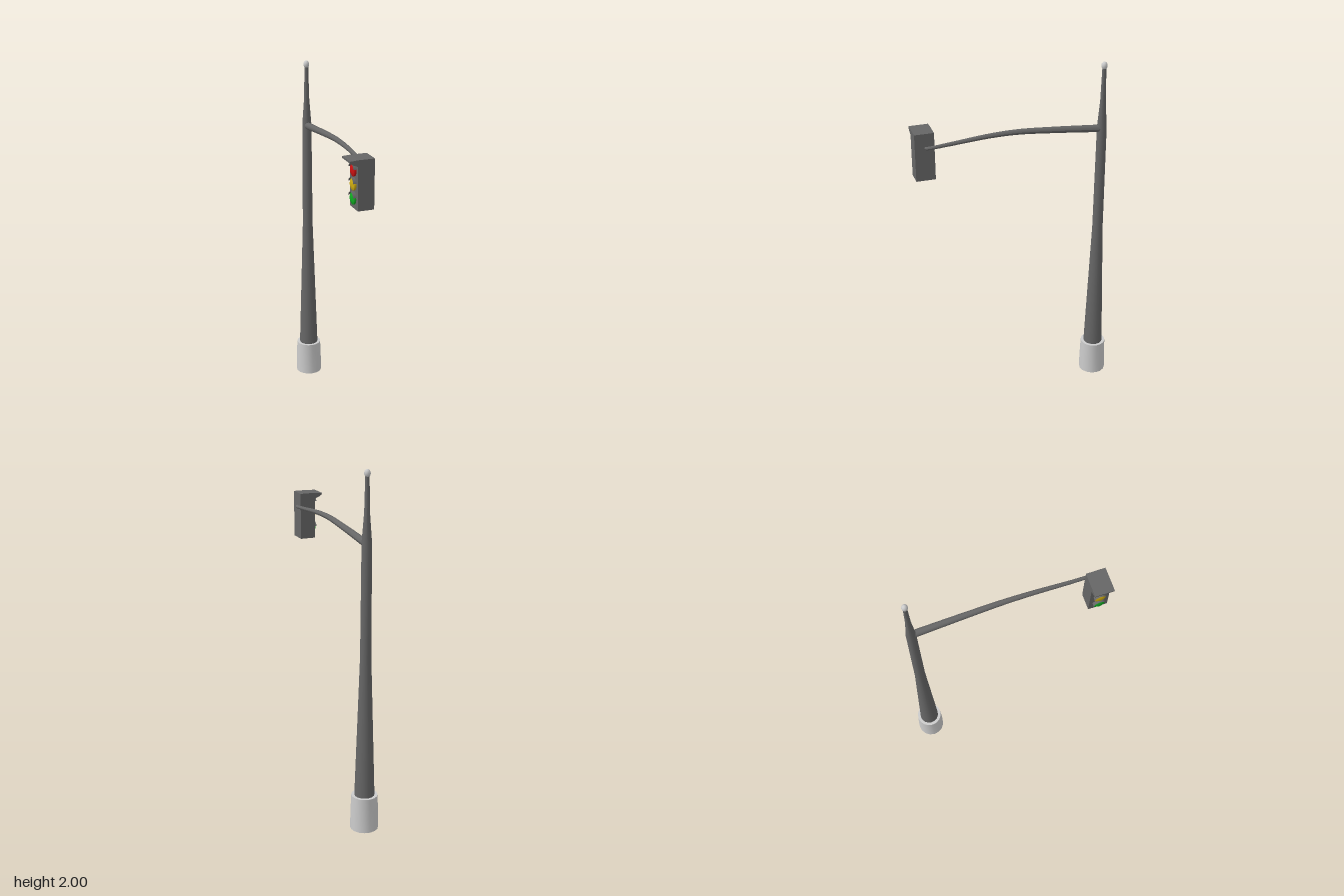
import * as THREE from 'three';
import { toCreasedNormals } from 'three/addons/utils/BufferGeometryUtils.js';

const paint = (color) => new THREE.MeshStandardMaterial({ color, side: THREE.DoubleSide });
const dark = paint(0x666666);
const light = paint(0xcccccc);

function add(parent, name, geometry, material, x = 0, y = 0, z = 0) {
  const mesh = new THREE.Mesh(geometry, material);
  mesh.name = name;
  mesh.position.set(x, y, z);
  parent.add(mesh);
  return mesh;
}

const lathe = (points, segments) =>
  toCreasedNormals(new THREE.LatheGeometry(points.map(([r, y]) => new THREE.Vector2(r, y)), segments), 0.6);

// Tube swept along a curve, its radius shrinking from r0 to r1
function taperedTube(curve, r0, r1, steps, sides) {
  const geometry = new THREE.TubeGeometry(curve, steps, 1, sides);
  const pos = geometry.attributes.position;
  const v = new THREE.Vector3();
  for (let i = 0; i <= steps; i++) {
    const centre = curve.getPointAt(i / steps);
    const r = r0 + (r1 - r0) * (i / steps);
    for (let j = 0; j <= sides; j++) {
      const k = i * (sides + 1) + j;
      v.fromBufferAttribute(pos, k).sub(centre).multiplyScalar(r).add(centre);
      pos.setXYZ(k, v.x, v.y, v.z);
    }
  }
  geometry.computeVertexNormals();
  return geometry;
}

export function createModel() {
  const model = new THREE.Group();
  model.name = 'trafficLight';

  // Upright: hollow footing, tapered pole, finial
  const upright = new THREE.Group();
  upright.name = 'upright';
  upright.position.set(0.03, 0, -0.487);
  model.add(upright);
  add(upright, 'base', lathe([[0, 0.03], [0.063, 0.03], [0.063, 0], [0.078, 0], [0.077, 0.08], [0.073, 0.2], [0.05, 0.2]], 16), light);
  add(upright, 'pole', lathe([[0.056, 0.19], [0.03, 1.0], [0.027, 1.62], [0.015, 1.78], [0.011, 1.965], [0, 1.965]], 16), dark);
  add(upright, 'finial', new THREE.SphereGeometry(0.017, 12, 8), light, 0, 1.978, 0).scale.y = 1.3;

  // Arched arm turning sideways into the signal housing
  const path = new THREE.CatmullRomCurve3([
    [0.03, 1.615, -0.487], [0.03, 1.643, -0.2], [0.03, 1.658, 0], [0.03, 1.656, 0.16],
    [0.03, 1.638, 0.38], [0.03, 1.63, 0.485], [0.024, 1.628, 0.504], [0.005, 1.628, 0.508],
  ].map((p) => new THREE.Vector3(...p)));
  add(model, 'arm', taperedTube(path, 0.021, 0.009, 48, 12), dark);

  // Signal head, facing -x
  const head = new THREE.Group();
  head.name = 'signalHead';
  head.position.set(0, 0, 0.511);
  model.add(head);
  add(head, 'housing', new THREE.BoxGeometry(0.09, 0.27, 0.107), dark, -0.025, 1.575, 0);

  // Wedge visor over the lamps
  const outline = new THREE.Shape([
    [-0.07, 1.71], [-0.115, 1.707], [-0.114, 1.697], [-0.098, 1.686], [-0.07, 1.675],
  ].map(([x, y]) => new THREE.Vector2(x, y)));
  add(head, 'visor', new THREE.ExtrudeGeometry(outline, { depth: 0.107, bevelEnabled: false }), dark, 0, 0, -0.0535);

  // Lamps: a shallow lens with a hood over its upper edge
  const lensShape = lathe([[0.032, 0], [0.032, 0.01], [0.02, 0.016], [0, 0.018]], 16);
  const hoodShape = new THREE.CylinderGeometry(0.036, 0.036, 0.018, 10, 1, true, Math.PI * 0.1, Math.PI * 0.8);
  [['red', 0xcc1111, 1.645], ['amber', 0xccaa11, 1.57], ['green', 0x11aa22, 1.495]].forEach(([name, color, y]) => {
    const lamp = new THREE.Group();
    lamp.name = name + 'Lamp';
    lamp.position.set(-0.07, y, 0);
    lamp.rotation.z = Math.PI / 2;
    head.add(lamp);
    add(lamp, name + 'Lens', lensShape, paint(color));
    add(lamp, name + 'Hood', hoodShape, dark, 0, 0.009, 0);
  });

  return model;
}
